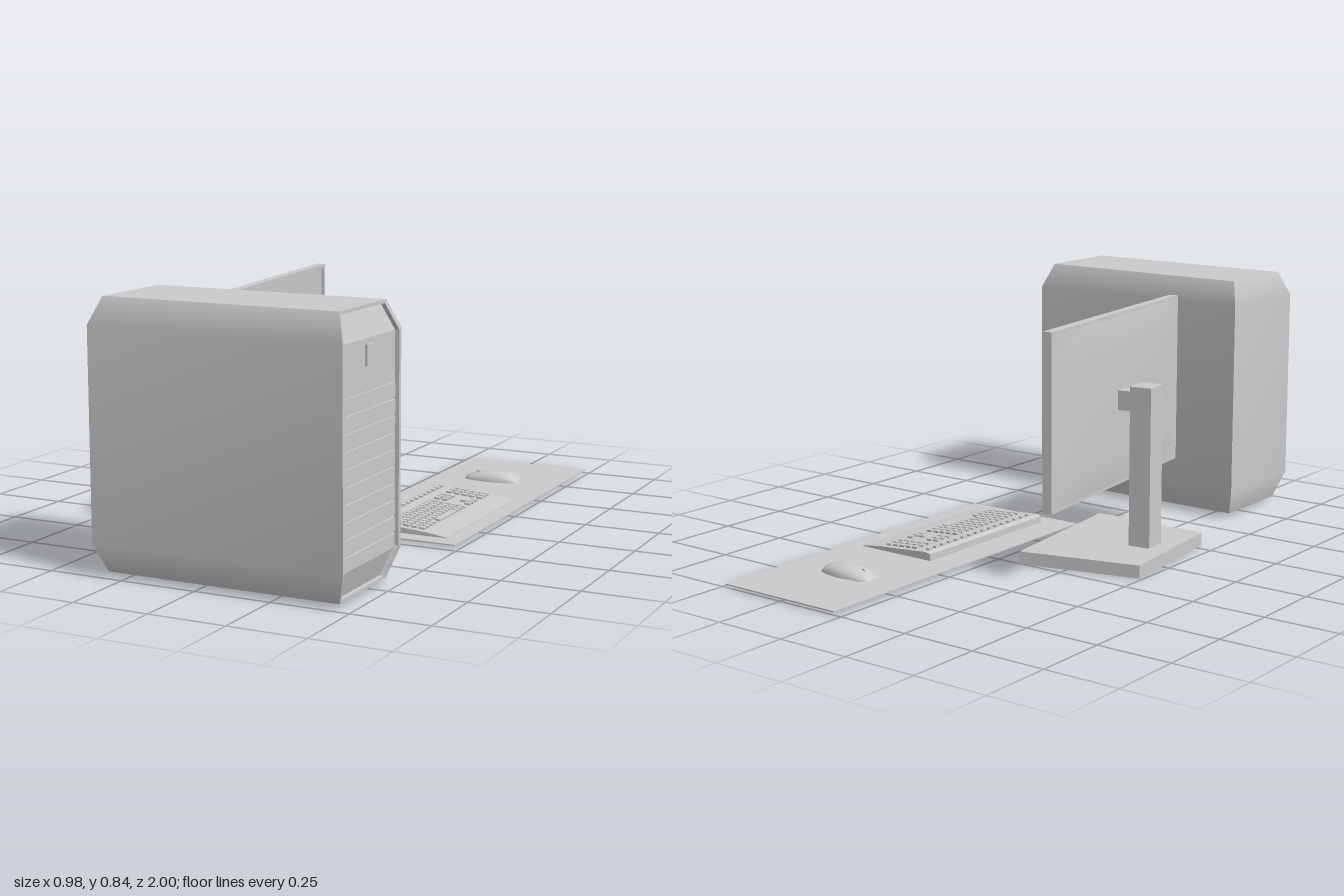
import * as THREE from 'three';

const mat = new THREE.MeshStandardMaterial({ color: 0xcccccc, side: THREE.DoubleSide });
const V = (x, y, z) => [x, y, z];

function add(parent, name, geo, x = 0, y = 0, z = 0) {
  const m = new THREE.Mesh(geo, mat);
  m.name = name;
  m.position.set(x, y, z);
  parent.add(m);
  return m;
}
const box = (w, h, d) => new THREE.BoxGeometry(w, h, d);

// Surface through rows of points; columns run rightward and rows upward seen from outside
function sheet(rows, flat = false) {
  const n = rows[0].length, idx = [];
  for (let i = 0; i < rows.length - 1; i++) {
    for (let j = 0; j < n - 1; j++) {
      const a = i * n + j, b = a + n;
      idx.push(a, a + 1, b + 1, a, b + 1, b);
    }
  }
  let g = new THREE.BufferGeometry();
  g.setAttribute('position', new THREE.Float32BufferAttribute(rows.flat(2), 3));
  g.setIndex(idx);
  if (flat) g = g.toNonIndexed();
  g.computeVertexNormals();
  return g;
}

function makeTower() {
  const g = new THREE.Group();
  g.name = 'computerTower';
  // Rectangular levels that narrow at the top and bottom: y, x range, z range
  const levels = [
    [0.01, -0.32, 0.45, 0.66, 0.96], [0.1, -0.35, 0.48, 0.622, 1],
    [0.755, -0.35, 0.48, 0.622, 1], [0.837, -0.32, 0.45, 0.66, 0.96],
  ];
  const wall = (name, f) => add(g, name, sheet(levels.map(f)));
  wall('outerSidePanel', ([y, x0, x1, , z1]) => [V(x0, y, z1), V(x1, y, z1)]);
  wall('innerSidePanel', ([y, x0, x1, z0]) => [V(x1, y, z0), V(x0, y, z0)]);
  wall('rearPanel', ([y, x0, , z0, z1]) => [V(x0, y, z0), V(x0, y, z1)]);
  const [ty, tx0, tx1, tz0, tz1] = levels[3];
  add(g, 'topPanel', sheet([[V(tx0, ty, tz1), V(tx1, ty, tz1)], [V(tx0, ty, tz0), V(tx1, ty, tz0)]]));

  // Rim and recessed fascia on the +x end
  const cy = 0.4235, cz = 0.811;
  const edge = (side, sy, sz, dx) => levels.map(([y, , x1, z0, z1]) =>
    V(x1 - dx, cy + (y - cy) * sy, cz + ((side > 0 ? z1 : z0) - cz) * sz));
  const ring = (sy, sz, dx) => {
    const near = edge(1, sy, sz, dx), far = edge(-1, sy, sz, dx);
    return [near[0], ...far, ...near.reverse()];
  };
  add(g, 'fasciaRim', sheet([ring(1, 1, 0), ring(0.975, 0.93, 0)], true));
  add(g, 'fasciaRecess', sheet([ring(0.975, 0.93, 0), ring(0.975, 0.93, 0.014)], true));
  const l = edge(1, 0.975, 0.93, 0.014), r = edge(-1, 0.975, 0.93, 0.014);
  add(g, 'fascia', sheet(l.map((p, i) => [p, r[i]]), true));
  for (let i = 0; i < 10; i++) add(g, 'fasciaSlat', box(0.01, 0.041, 0.33), 0.468, 0.125 + i * 0.05, cz);
  add(g, 'powerButton', box(0.012, 0.06, 0.045), 0.468, 0.7, cz);
  return g;
}

function makeMonitor() {
  const g = new THREE.Group();
  g.name = 'monitor';
  // Open-bottomed, skewed foot
  const foot = [[-0.49, -0.153], [-0.44, 0.288], [-0.022, 0.291], [-0.09, -0.254]];
  const loop = [...foot, foot[0]];
  add(g, 'footSides', sheet([0, 0.043].map(y => loop.map(([x, z]) => V(x, y, z))), true));
  const c = foot.map(([x, z]) => V(x, 0.043, z));
  add(g, 'footTop', sheet([[c[1], c[2]], [c[0], c[3]]]));

  // Screen faces local +x, turned slightly
  const s = new THREE.Group();
  s.name = 'screenAndStand';
  s.position.set(-0.247, 0, 0.045);
  s.rotation.y = 0.125;
  g.add(s);
  add(s, 'standColumn', box(0.075, 0.53, 0.085), -0.119, 0.307, 0);
  add(s, 'standBracket', box(0.075, 0.065, 0.055), -0.05, 0.52, 0);

  const W = 0.872, H = 0.57, Y = 0.515;
  const rect = (T, w, h) => new T([[-w, -h], [w, -h], [w, h], [-w, h]].map(([a, b]) => new THREE.Vector2(a / 2, b / 2)));
  const frame = rect(THREE.Shape, W, H);
  frame.holes.push(rect(THREE.Path, W - 0.024, H - 0.024));
  const bezel = add(s, 'bezel', new THREE.ExtrudeGeometry(frame, { depth: 0.01, bevelEnabled: false }), 0.006, Y, 0);
  bezel.rotation.y = Math.PI / 2;
  add(s, 'screen', box(0.022, H, W), -0.005, Y, 0);
  // Shallow raised rear cover
  const zs = [-0.425, -0.22, 0.22, 0.425], ys = [-0.275, -0.18, 0.18, 0.275];
  const inner = i => i === 1 || i === 2;
  add(s, 'rearCover', sheet(ys.map((y, i) => zs.map((z, j) => V(inner(i) && inner(j) ? -0.03 : -0.0165, Y + y, z)))));
  for (const y of [0.32, 0.71]) add(s, 'screenButton', box(0.006, 0.025, 0.005), 0.015, y, -0.424);
  return g;
}

function makeKeyboard() {
  const g = new THREE.Group();
  g.name = 'keyboard';
  // Wedge body with a low palm rest
  const p = [[0.137, 0.006], [0.43, 0.006], [0.43, 0.014], [0.36, 0.024], [0.155, 0.039], [0.137, 0.034]];
  const shape = new THREE.Shape(p.map(([x, y]) => new THREE.Vector2(x, y)));
  add(g, 'keyboardBody', new THREE.ExtrudeGeometry(shape, { depth: 0.593, bevelEnabled: false }), 0, 0, -0.432);
  const slope = 0.073;
  const key = (x, z, len = 0.02, w = 0.02) => {
    const k = add(g, 'key', box(w, 0.01, len), x, 0.0405 - (x - 0.155) * slope, z);
    k.rotation.z = -slope;
  };
  // Main block, navigation block and number pad
  for (let row = 0; row < 5; row++) {
    const x = 0.221 + row * 0.028;
    for (let i = 0; i < 13; i++) {
      if (row === 4 && i > 3 && i < 9) continue;
      key(x, 0.13 - i * 0.0272);
    }
    for (let i = 0; i < 3; i++) {
      if (row !== 2 && !(row === 3 && i !== 1)) key(x, -0.242 - i * 0.0272);
      key(x, -0.345 - i * 0.0285);
    }
  }
  key(0.333, -0.047, 0.125);
  // Narrow top row
  for (let i = 0; i < 16; i++) key(0.166, 0.125 - i * 0.035, 0.022, 0.012);
  return g;
}

function makeMouse() {
  const g = new THREE.Group();
  g.name = 'mouse';
  // Domed cross-sections along x: position, half width, height
  const secs = [
    [0.14, 0.026, 0.004], [0.143, 0.03, 0.018], [0.165, 0.043, 0.028], [0.21, 0.049, 0.039],
    [0.255, 0.052, 0.044], [0.3, 0.046, 0.04], [0.335, 0.034, 0.027], [0.345, 0.026, 0.016], [0.347, 0.022, 0.004],
  ];
  const rows = secs.map(([x, w, h]) => Array.from({ length: 13 }, (_, i) => {
    const a = Math.PI * i / 12;
    return V(x, 0.004 + h * Math.pow(Math.abs(Math.sin(a)), 0.7), -0.695 + w * Math.cos(a));
  }).reverse());
  add(g, 'mouseShell', sheet(rows));
  add(g, 'mouseBase', sheet(secs.map(([x, w]) => [V(x, 0.004, -0.695 + w), V(x, 0.004, -0.695 - w)])));
  const wheel = add(g, 'scrollWheel', new THREE.CylinderGeometry(0.012, 0.012, 0.008, 16), 0.185, 0.029, -0.695);
  wheel.rotation.x = Math.PI / 2;
  return g;
}

export function createModel() {
  const model = new THREE.Group();
  model.name = 'desktopComputer';
  model.add(makeTower(), makeMonitor(), makeKeyboard(), makeMouse());
  add(model, 'deskMat', box(0.456, 0.004, 1.223), 0.257, 0.01, -0.3885);
  return model;
}
